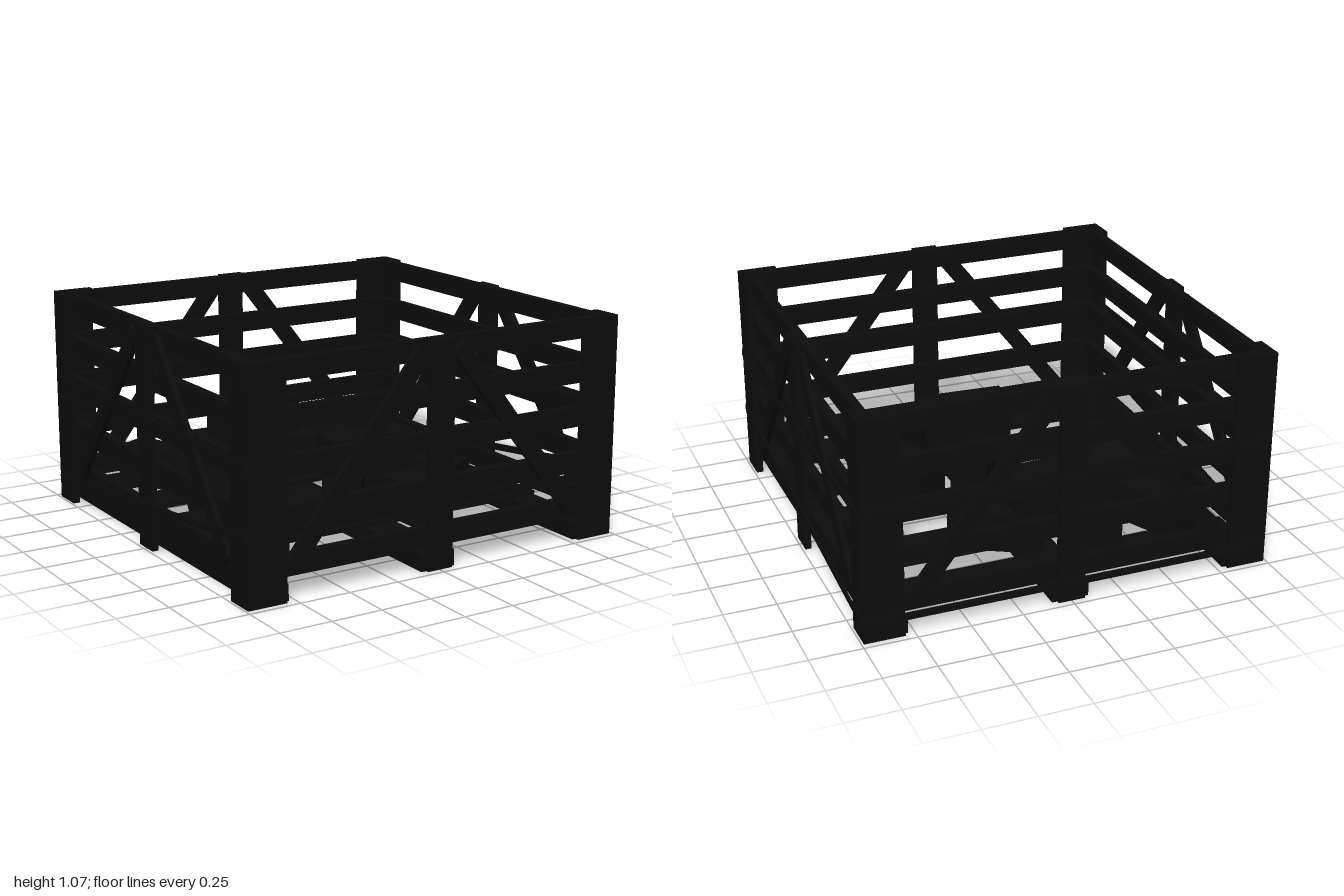
import * as THREE from 'three';

const material = new THREE.MeshStandardMaterial({ color: 0x0c0c0c });

function box(parent, name, size, pos, rot = [0, 0, 0]) {
  const mesh = new THREE.Mesh(new THREE.BoxGeometry(...size), material);
  mesh.name = name;
  mesh.position.set(...pos);
  mesh.rotation.set(...rot, 'YXZ');
  parent.add(mesh);
  return mesh;
}

// One side wall, built facing +z with its outer face at z = depth
function wall(depth, half, name) {
  const g = new THREE.Group();
  g.name = name;
  const outer = depth - 0.015;
  const inner = depth - 0.052;
  for (const y of [0.155, 0.375, 0.595, 0.805, 1.015])
    box(g, 'wallSlat', [half * 2, 0.095, 0.045], [0, y, inner]);
  box(g, 'centrePost', [0.13, 1.06, 0.03], [0, 0.532, outer]);
  for (const s of [-1, 1]) {
    // diagonal brace leaning in towards the centre post
    const dx = 0.67, dy = 0.86;
    box(g, 'diagonalBrace', [0.084, Math.hypot(dx, dy), 0.026],
      [s * 0.425, 0.59, outer - 0.002], [0, 0, s * Math.atan2(dx, dy)]);
  }
  return g;
}

// Thin strap loop with rounded corners; the front and back can sit at different heights
function strap(yFront, yBack) {
  const w = 0.998, d = 0.978, r = 0.03;
  const ring = (hw, hd, rad, target) => {
    target.moveTo(hw, -hd + rad);
    target.lineTo(hw, hd - rad);
    target.absarc(hw - rad, hd - rad, rad, 0, Math.PI / 2, false);
    target.absarc(-hw + rad, hd - rad, rad, Math.PI / 2, Math.PI, false);
    target.absarc(-hw + rad, -hd + rad, rad, Math.PI, Math.PI * 1.5, false);
    target.absarc(hw - rad, -hd + rad, rad, Math.PI * 1.5, Math.PI * 2, false);
    return target;
  };
  const shape = ring(w, d, r, new THREE.Shape());
  shape.holes.push(ring(w - 0.008, d - 0.008, r - 0.008, new THREE.Path()));
  const geo = new THREE.ExtrudeGeometry(shape, { depth: 0.034, bevelEnabled: false, curveSegments: 4 });
  geo.rotateX(-Math.PI / 2);
  // shear the loop so it slopes from front to back
  const p = geo.attributes.position;
  for (let i = 0; i < p.count; i++) {
    const t = (p.getZ(i) / d + 1) / 2;
    p.setY(i, p.getY(i) - 0.017 + yBack + (yFront - yBack) * t);
  }
  geo.computeVertexNormals();
  const mesh = new THREE.Mesh(geo, material);
  mesh.name = 'strap';
  return mesh;
}

export function createModel() {
  const model = new THREE.Group();
  model.name = 'crate';

  // Pallet base: three skids carrying five floor boards
  const base = new THREE.Group();
  base.name = 'base';
  for (const [x, w] of [[-0.85, 0.14], [0, 0.18], [0.85, 0.14]])
    box(base, 'skid', [w, 0.078, 1.9], [x, 0.039, 0]);
  for (let i = -2; i <= 2; i++)
    box(base, 'floorBoard', [1.83, 0.024, 0.216], [0, 0.09, i * 0.385 - 0.005]);
  model.add(base);

  // Four walls
  for (let i = 0; i < 4; i++) {
    const side = i % 2;
    const g = wall(side ? 0.988 : 0.97, side ? 0.9 : 0.94, ['frontWall', 'leftWall', 'backWall', 'rightWall'][i]);
    g.rotation.y = i * Math.PI / 2;
    model.add(g);
  }

  // L-shaped corner posts
  for (const sx of [-1, 1]) for (const sz of [-1, 1]) {
    const post = new THREE.Group();
    post.name = 'cornerPost';
    box(post, 'cornerPostFace', [0.158, 1.065, 0.03], [sx * 0.877, 0.5325, sz * 0.955]);
    box(post, 'cornerPostSide', [0.034, 1.065, 0.15], [sx * 0.973, 0.5325, sz * 0.895]);
    model.add(post);
  }

  // Binding straps
  model.add(strap(0.627, 0.627), strap(0.318, 0.1));

  // Loose blocks: x, y, z, then yaw, tilt and roll
  const blocks = [
    [-0.59, 0.197, -0.58, -1.12, 0, 0],
    [-0.235, 0.197, -0.59, 1.54, 0, 0],
    [-0.085, 0.39, -0.575, 0.04, 0, 0],
    [0.18, 0.197, -0.5, -0.5, 0, 0],
    [-0.435, 0.18, -0.17, 0.16, -0.46, -0.08],
    [0.04, 0.39, 0.295, -0.06, 0, 0],
    [0.155, 0.197, 0.48, -1.53, 0, 0],
    [-0.02, 0.197, 0.21, 0.91, 0, 0],
    [0.41, 0.197, 0.22, -1.09, 0, 0],
    [-0.74, 0.197, 0.52, 1.55, 0, 0],
  ];
  const load = new THREE.Group();
  load.name = 'looseBlocks';
  for (const [x, y, z, yaw, tilt, roll] of blocks)
    box(load, 'block', [0.44, 0.19, 0.185], [x, y, z], [tilt, yaw, roll]);
  model.add(load);

  return model;
}
